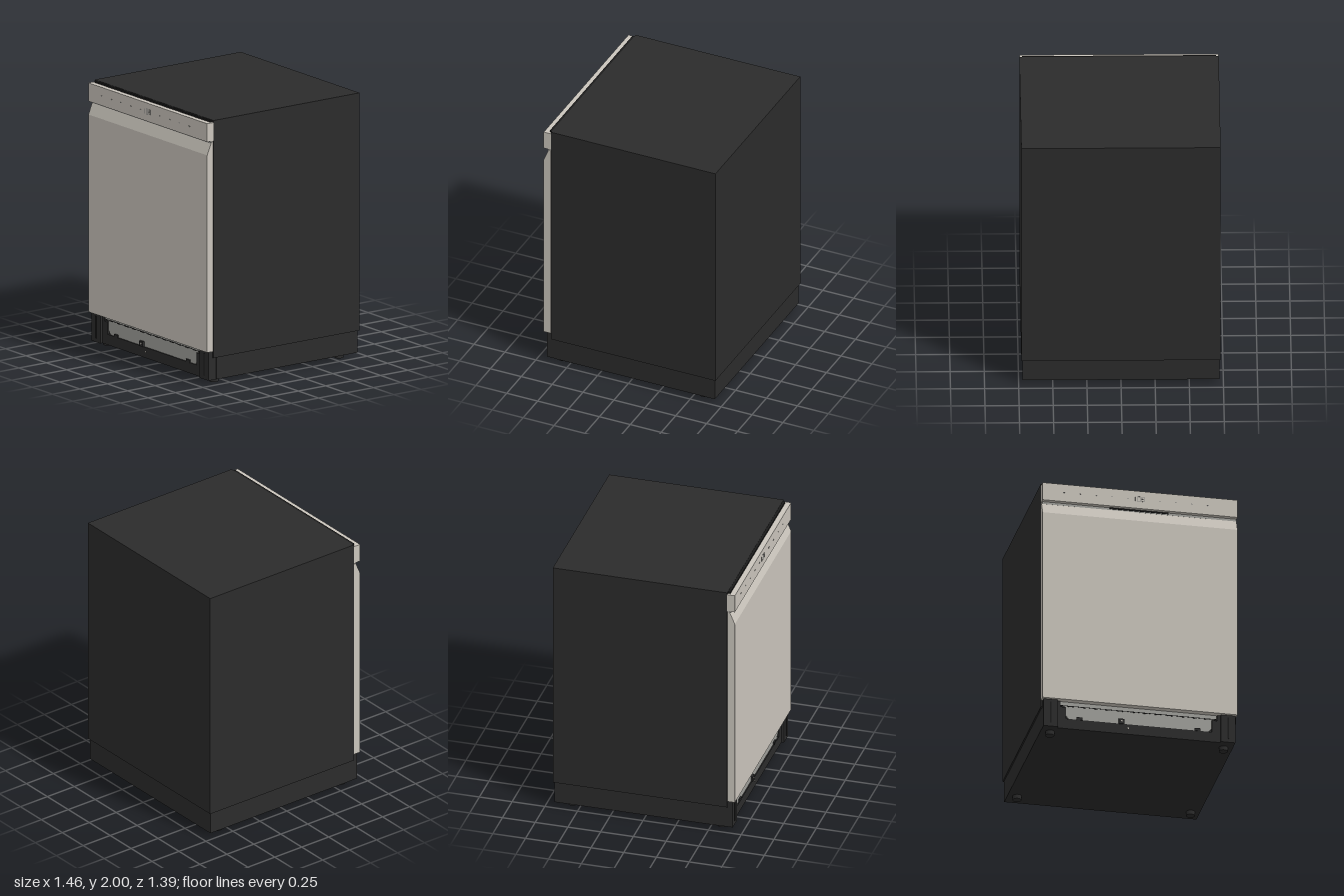
import * as THREE from 'three';

const mat = (name, color) => {
  const m = new THREE.MeshStandardMaterial({ color });
  m.name = name;
  return m;
};

export function createModel() {
  const black = mat('black casing', 0x2b2b2b);
  const darkTrim = mat('dark trim', 0x1b1b1b);
  const steel = mat('warm steel', 0xcac5bc);
  const galvanised = mat('galvanised grey', 0xa0a09b);
  const marking = mat('marking grey', 0x8b8b88);
  const model = new THREE.Group();
  model.name = 'dishwasher';

  const add = (name, geometry, material, parent = model) => {
    const mesh = new THREE.Mesh(geometry, material);
    mesh.name = name;
    parent.add(mesh);
    return mesh;
  };
  // Box given by its minimum and maximum on each axis
  const box = (name, material, x0, x1, y0, y1, z0, z1, parent) => {
    const mesh = add(name, new THREE.BoxGeometry(x1 - x0, y1 - y0, z1 - z0), material, parent);
    mesh.position.set((x0 + x1) / 2, (y0 + y1) / 2, (z0 + z1) / 2);
    return mesh;
  };
  const shapeOf = (points) => new THREE.Shape(points.map(([x, y]) => new THREE.Vector2(x, y)));

  // Casing and the set-back base
  box('casing', black, -0.73, 0.73, 0.2, 2, -0.695, 0.637);
  box('base', black, -0.72, 0.72, 0.032, 0.2, -0.685, 0.605);
  box('topSeal', darkTrim, -0.71, 0.71, 1.975, 1.998, 0.637, 0.655);

  // Door: side profile (z, y) swept across the width, sloping in to the handle recess
  const profile = shapeOf([
    [0.64, 0.25], [0.695, 0.25], [0.695, 1.745], [0.662, 1.825], [0.655, 1.84], [0.64, 1.84],
  ]);
  const doorGeometry = new THREE.ExtrudeGeometry(profile, { depth: 1.46, bevelEnabled: false });
  doorGeometry.rotateY(-Math.PI / 2).translate(0.73, 0, 0);
  add('door', doorGeometry, steel);
  box('handleRecess', galvanised, -0.725, 0.725, 1.828, 1.847, 0.637, 0.661);
  box('handleSlot', darkTrim, -0.22, 0.22, 1.836, 1.847, 0.655, 0.667);

  // Control panel with indicator marks and a small display
  box('controlPanel', steel, -0.73, 0.73, 1.846, 1.985, 0.637, 0.695);
  const controls = new THREE.Group();
  controls.name = 'controls';
  model.add(controls);
  for (const x of [-0.57, -0.45, -0.33, -0.21, -0.09, 0.15, 0.27, 0.39, 0.51]) {
    box('indicator', marking, x - 0.008, x + 0.008, 1.917, 1.922, 0.694, 0.697, controls);
  }
  box('displayBar', marking, -0.036, -0.033, 1.902, 1.937, 0.694, 0.697, controls);
  const frame = (x0, x1, y0, y1) => {
    const t = 0.003;
    const outline = shapeOf([[x0, y0], [x1, y0], [x1, y1], [x0, y1]]);
    outline.holes.push(new THREE.Path([
      [x0 + t, y0 + t], [x0 + t, y1 - t], [x1 - t, y1 - t], [x1 - t, y0 + t],
    ].map(([x, y]) => new THREE.Vector2(x, y))));
    const geometry = new THREE.ExtrudeGeometry(outline, { depth: 0.003, bevelEnabled: false });
    add('displayFrame', geometry, marking, controls).position.z = 0.694;
  };
  frame(-0.018, 0.002, 1.897, 1.943);
  frame(0.012, 0.032, 1.902, 1.92);
  frame(0.012, 0.032, 1.922, 1.94);

  // Toe kick: metal plate with stepped corners, above a black strip
  const plate = shapeOf([
    [-0.52, 0.11], [0.52, 0.11], [0.545, 0.14], [0.545, 0.21], [0.585, 0.222],
    [0.585, 0.252], [-0.585, 0.252], [-0.585, 0.222], [-0.545, 0.21], [-0.545, 0.14],
  ]);
  const plateGeometry = new THREE.ExtrudeGeometry(plate, { depth: 0.008, bevelEnabled: false });
  add('kickPlate', plateGeometry, galvanised).position.z = 0.639;
  box('kickBacking', black, -0.62, 0.62, 0.032, 0.25, 0.6, 0.638);
  box('kickStrip', black, -0.62, 0.62, 0.032, 0.112, 0.6, 0.655);
  box('plateSeam', darkTrim, -0.585, 0.585, 0.217, 0.221, 0.645, 0.649);
  for (let i = 0; i < 12; i++) {
    const x = -0.51 + i * 0.0927;
    box('plateSlot', darkTrim, x - 0.02, x + 0.02, 0.213, 0.22, 0.645, 0.65);
  }
  for (const x of [-0.445, 0.44]) box('plateTab', black, x - 0.022, x + 0.022, 0.11, 0.132, 0.64, 0.658);
  box('latchBlock', black, -0.152, -0.108, 0.11, 0.15, 0.64, 0.662);
  for (const [x, y, z] of [[-0.13, 0.132, 0.662], [-0.08, 0.08, 0.655]]) {
    const screw = add('screw', new THREE.CylinderGeometry(0.006, 0.006, 0.006, 10), steel);
    screw.rotation.x = Math.PI / 2;
    screw.position.set(x, y, z);
  }

  // Mirrored front pillars and levelling feet
  for (const s of [-1, 1]) {
    const side = (a, b) => [Math.min(s * a, s * b), Math.max(s * a, s * b)];
    box('frontPillar', black, ...side(0.61, 0.718), 0.032, 0.249, 0.6, 0.675);
    box('pillarBracket', black, ...side(0.548, 0.612), 0.032, 0.205, 0.6, 0.656);
    box('pillarTop', black, ...side(0.587, 0.612), 0.2, 0.249, 0.6, 0.656);
    box('pillarRib', darkTrim, ...side(0.66, 0.672), 0.06, 0.23, 0.672, 0.678);
    for (const z of [0.575, -0.565]) {
      const foot = add('foot', new THREE.CylinderGeometry(0.033, 0.033, 0.036, 20), black);
      foot.position.set(s * 0.65, 0.018, z);
    }
  }
  return model;
}
